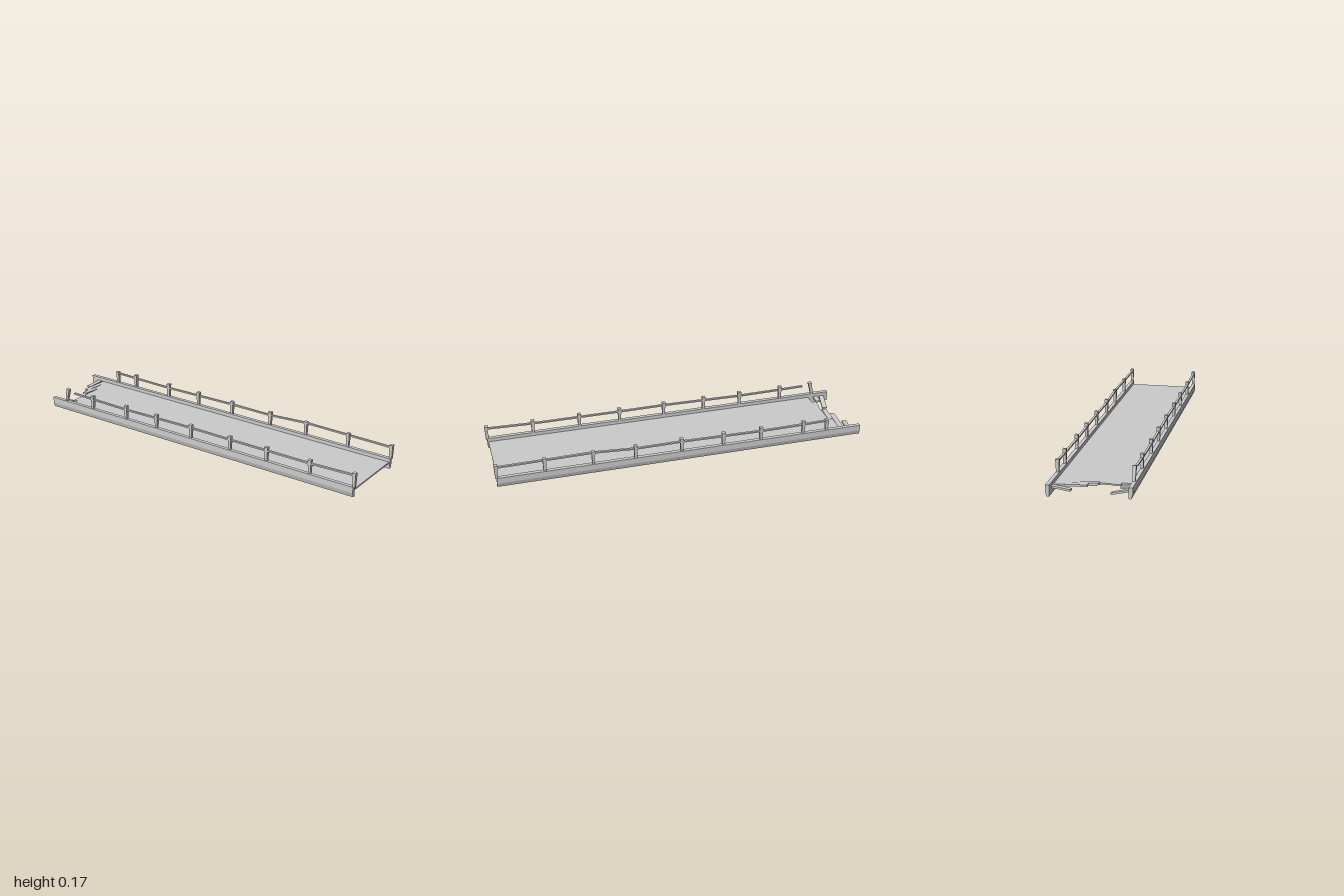
import * as THREE from 'three';

const mat = new THREE.MeshStandardMaterial({ color: 0xcccccc, flatShading: true });
const thinMat = new THREE.MeshStandardMaterial({ color: 0xcccccc, side: THREE.DoubleSide });

function add(parent, name, geometry, material = mat) {
  const mesh = new THREE.Mesh(geometry, material);
  mesh.name = name;
  parent.add(mesh);
  return mesh;
}

function shapeOf(points) {
  return new THREE.Shape(points.map(([x, y]) => new THREE.Vector2(x, y)));
}

// Side beam: profile in z and y with the lower outer edge bevelled, run along x
function addBeam(parent, side, x0, x1) {
  const o = side > 0 ? 0.206 : -0.203;
  const i = side > 0 ? 0.186 : -0.183;
  const profile = [[i, 0.034], [o - side * 0.007, 0.034], [o, 0.058], [o, 0.09], [i, 0.09]];
  const geo = new THREE.ExtrudeGeometry(shapeOf(profile.map(([z, y]) => [-z, y])), {
    depth: x1 - x0, bevelEnabled: false,
  });
  geo.rotateY(Math.PI / 2);
  geo.translate(x0, 0, 0);
  add(parent, 'sideBeam', geo);
}

// Square post, wider at the top, optionally leaning
function addPost(parent, x, z, top = 0.165, lean = 0) {
  const h = top - 0.085;
  const geo = new THREE.CylinderGeometry(0.0135, 0.0095, h, 4);
  geo.rotateY(Math.PI / 4);
  geo.translate(0, h / 2, 0);
  const post = add(parent, 'post', geo);
  post.position.set(x, 0.085, z);
  post.rotation.z = lean;
}

// Bar of rectangular section between two points
function addBar(parent, name, a, b, width, height) {
  const from = new THREE.Vector3(...a), to = new THREE.Vector3(...b);
  const bar = add(parent, name, new THREE.BoxGeometry(width, height, from.distanceTo(to)));
  bar.position.copy(from).add(to).multiplyScalar(0.5);
  bar.lookAt(to);
}

export function createModel() {
  const bridge = new THREE.Group();
  bridge.name = 'brokenBridge';

  // Deck with a ragged broken end, outline in x and z
  const outline = [
    [0.985, -0.186], [0.985, 0.188], [-0.845, 0.188], [-0.845, 0.13], [-0.87, 0.13],
    [-0.87, 0.085], [-0.865, 0.085], [-0.865, 0.02], [-0.893, 0.02], [-0.893, -0.186],
  ];
  const deck = new THREE.ExtrudeGeometry(shapeOf(outline.map(([x, z]) => [x, -z])), {
    depth: 0.008, bevelEnabled: false,
  });
  deck.rotateX(-Math.PI / 2);
  deck.translate(0, 0.062, 0);
  add(bridge, 'deck', deck);

  // Loose planks at the broken end
  const planks = [
    [[-0.94, 0.066, -0.185], [-0.953, 0.057, -0.09], 0.025],
    [[-0.907, 0.064, -0.185], [-0.907, 0.07, -0.02], 0.027],
    [[-0.88, 0.067, -0.07], [-0.88, 0.073, 0.03], 0.026],
    [[-0.925, 0.065, 0.188], [-0.912, 0.04, 0.095], 0.026],
    [[-0.888, 0.066, 0.188], [-0.886, 0.065, 0.135], 0.026],
  ];
  planks.forEach(([a, b, w]) => addBar(bridge, 'loosePlank', a, b, w, 0.01));

  // Thin support panels under the deck
  for (const [x, z] of [[0.52, 0.0685], [-0.02, -0.0365], [-0.52, 0.0685]]) {
    const geo = new THREE.PlaneGeometry(0.127, 0.064);
    geo.rotateY(Math.PI / 2);
    add(bridge, 'supportPanel', geo, thinMat).position.set(x, 0.032, z);
  }

  // Beams, posts and handrails on both sides
  const postX = [-0.67, -0.43, -0.22, 0.01, 0.26, 0.485, 0.74, 0.99];
  for (const side of [1, -1]) {
    const railing = new THREE.Group();
    railing.name = side > 0 ? 'frontRailing' : 'backRailing';
    bridge.add(railing);
    addBeam(railing, side, side > 0 ? -0.96 : -1, 0.99);

    const z = side * 0.193;
    postX.forEach((x) => addPost(railing, x, z));
    if (side > 0) addPost(railing, -0.866, z, 0.165, -0.2);
    else addPost(railing, -0.805, z, 0.155);

    const path = [
      [-0.805, 0.146], [-0.67, 0.143], [-0.43, 0.14], [-0.22, 0.143], [0.01, 0.146],
      [0.26, 0.144], [0.485, side > 0 ? 0.144 : 0.157], [0.74, side > 0 ? 0.144 : 0.154], [0.99, 0.151],
    ];
    for (let i = 0; i + 1 < path.length; i++) {
      addBar(railing, 'handrail', [...path[i], z], [...path[i + 1], z], 0.012, 0.008);
    }
  }
  return bridge;
}
